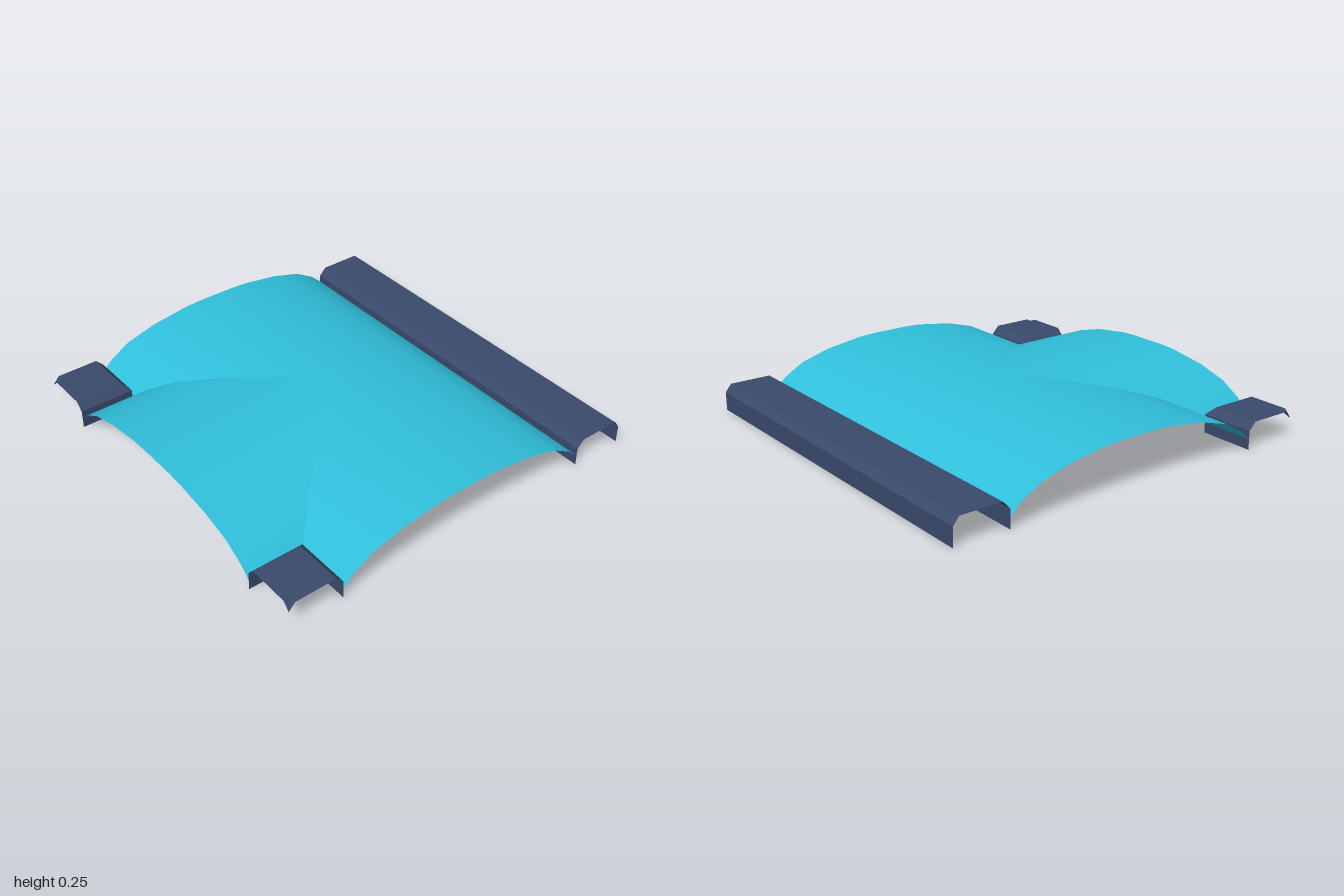
import * as THREE from 'three';

// Arch profile: [distance from the centre line, height]
const ARCH = [[0, 0.246], [0.1, 0.246], [0.19, 0.242], [0.395, 0.212], [0.55, 0.168], [0.655, 0.108], [0.713, 0.055]];
// Kerb levels: inner edge, shoulder and top
const IN = 0.713, SH = 0.75, OUT = 0.966, WALL = 0.095, TOP = 0.134;

// Surface through a list of rows, each a pair of points
function strip(name, rows, material, smooth = false) {
  const pos = [], index = [];
  rows.forEach(([a, b]) => pos.push(...a, ...b));
  const point = (i) => new THREE.Vector3(...rows[i >> 1][i & 1]);
  const tri = (a, b, c) => {
    const [p, q, r] = [a, b, c].map(point);
    if (q.sub(p).cross(r.sub(p)).length() > 1e-7) index.push(a, b, c);
  };
  for (let i = 0; i < rows.length - 1; i++) {
    const a = i * 2;
    tri(a, a + 1, a + 3);
    tri(a, a + 3, a + 2);
  }
  let geo = new THREE.BufferGeometry();
  geo.setAttribute('position', new THREE.Float32BufferAttribute(pos, 3));
  geo.setIndex(index);
  if (!smooth) geo = geo.toNonIndexed();
  geo.computeVertexNormals();
  const mesh = new THREE.Mesh(geo, material);
  mesh.name = name;
  return mesh;
}

// Mirror rows across x, keeping them facing outward
const side = (rows, s) => s > 0 ? rows
  : rows.map(([a, b]) => [[-b[0], b[1], b[2]], [-a[0], a[1], a[2]]]);

export function createModel() {
  const model = new THREE.Group();
  model.name = 'vaultedJunction';
  const teal = new THREE.MeshStandardMaterial({ color: 0x30bfdb, side: THREE.DoubleSide });
  teal.name = 'teal';
  const navy = new THREE.MeshStandardMaterial({ color: 0x3a4a6b, side: THREE.DoubleSide });
  navy.name = 'navy';

  // Back half of the main vault
  model.add(strip('backVault', ARCH.map(([d, y]) => [[-1, y, -d], [1, y, -d]]), teal, true));

  // Front branch vault, cut along the diagonal groins
  const across = [...ARCH.slice(1).reverse().map(([d, y]) => [-d, y]), ...ARCH];
  model.add(strip('branchVault', across.map(([x, y]) => [[x, y, Math.abs(x)], [x, y, 1]]), teal, true));

  // Back kerb, an open channel along the full width
  const kerb = [[-IN, 0], [-IN, WALL], [-SH, TOP], [-0.968, TOP], [-1, WALL], [-1, 0]];
  model.add(strip('backKerb', kerb.map(([z, y]) => [[-1, y, z], [1, y, z]]), navy));

  for (const s of [1, -1]) {
    const label = s > 0 ? 'left' : 'right';

    // Front half of the main vault beside the branch
    const vault = ARCH.slice().reverse().map(([d, y]) => [[d, y, d], [1, y, d]]);
    model.add(strip(label + 'FrontVault', side(vault, s), teal, true));

    // Corner kerb with mitred shoulders
    const corner = new THREE.Group();
    corner.name = label + 'CornerKerb';
    const inner = [[IN, 0], [IN, WALL], [SH, TOP]];
    const branchSide = inner.map(([d, y]) => [[d, y, d], [d, y, 1]]);
    branchSide.push([[OUT, TOP, SH], [OUT, TOP, 1]]);
    const mainSide = inner.slice().reverse().map(([d, y]) => [[d, y, d], [1, y, d]]);
    const edge = [[[OUT, TOP, SH], [OUT, TOP, OUT]], [[1, TOP, SH], [1, TOP, OUT]]];
    // Small dip at the outermost corner
    const p = [OUT, TOP, OUT];
    const dip = [[p, [OUT, TOP, 1]], [p, [1, WALL, 1]], [p, [1, TOP, OUT]]];
    corner.add(
      strip('branchSideAndTop', side(branchSide, s), navy),
      strip('mainSide', side(mainSide, s), navy),
      strip('topEdge', side(edge, s), navy),
      strip('cornerDip', side(dip, s), navy),
    );
    model.add(corner);
  }
  return model;
}
